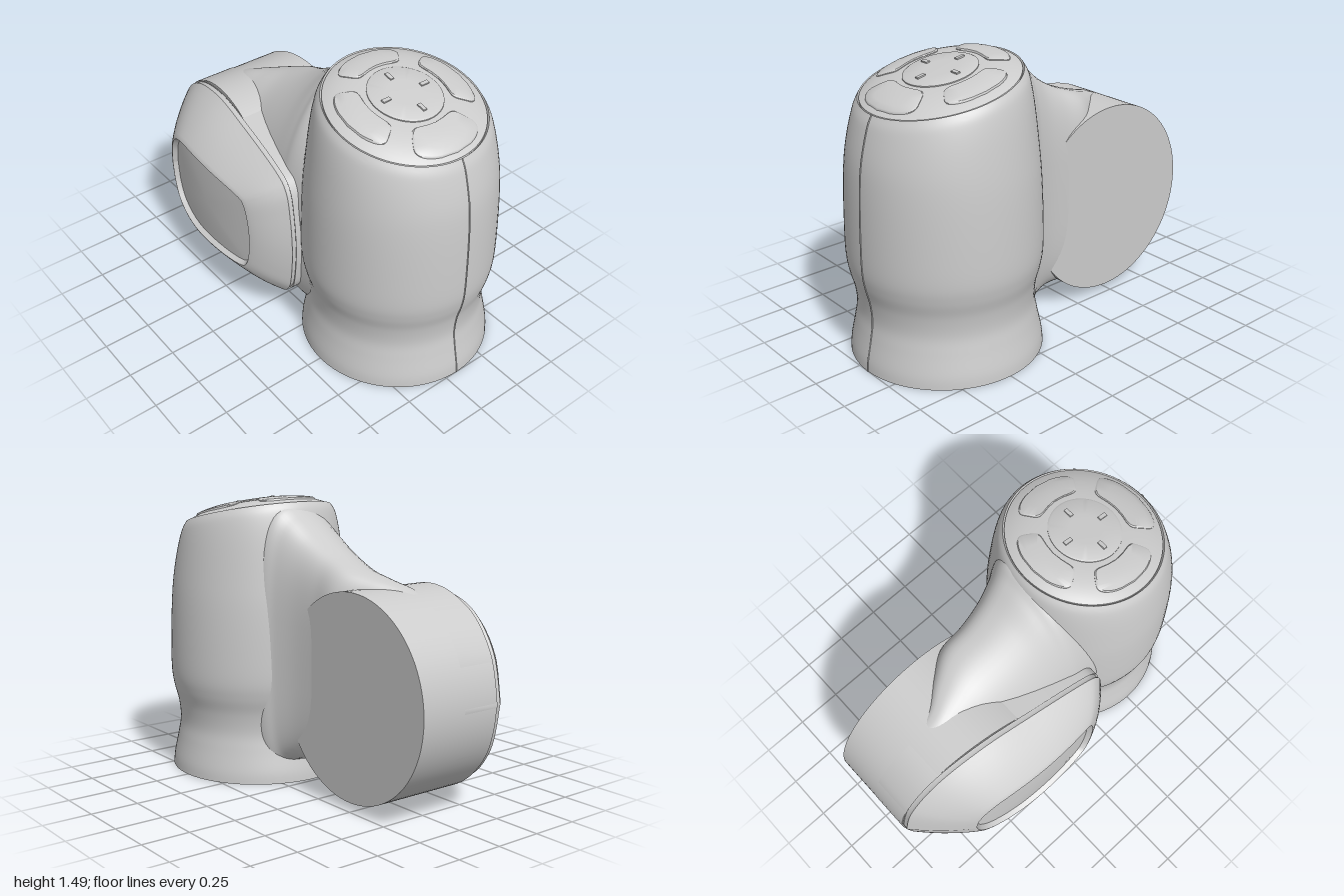
import * as THREE from 'three';
import { toCreasedNormals } from 'three/addons/utils/BufferGeometryUtils.js';

const material = new THREE.MeshStandardMaterial({ color: 0xcccccc });
const AXIS_X = 0.51, AXIS_Z = -0.07;   // axis of the upright body
const HUB_X = -0.48, HUB_Y = 0.558;    // centre of the round hub

function part(name, geometry) {
  const mesh = new THREE.Mesh(geometry, material);
  mesh.name = name;
  return mesh;
}

// Skin over closed rings of equal length, counter-clockwise about the direction of travel
function loft(rings, crease = 0.6) {
  const n = rings[0].length, positions = [], index = [];
  rings.forEach(ring => ring.forEach(p => positions.push(p.x, p.y, p.z)));
  for (let i = 0; i < rings.length - 1; i++) {
    for (let j = 0; j < n; j++) {
      const a = i * n + j, b = i * n + (j + 1) % n;
      index.push(a, b, b + n, a, b + n, a + n);
    }
  }
  const geometry = new THREE.BufferGeometry();
  geometry.setAttribute('position', new THREE.Float32BufferAttribute(positions, 3));
  geometry.setIndex(index);
  return toCreasedNormals(geometry, crease);
}

const signedPow = (v, e) => Math.sign(v) * Math.abs(v) ** e;
const v3 = (x, y, z) => new THREE.Vector3(x, y, z);

// The body's top is sheared so that the cap slopes down towards +x
const slope = (dx, y) => y - 0.21 * dx * THREE.MathUtils.smoothstep(y, 1.0, 1.37);
const dome = r => 1.375 + 0.06 * (1 - (r / 0.39) ** 4);

function slopedLathe(points, crease) {
  const geometry = new THREE.LatheGeometry(points, 96);
  const pos = geometry.attributes.position;
  for (let i = 0; i < pos.count; i++) pos.setY(i, slope(pos.getX(i), pos.getY(i)));
  geometry.translate(AXIS_X, 0, AXIS_Z);
  return toCreasedNormals(geometry, crease);
}

// Point on the cap at radius r and angle a, raised by h
function onCap(r, a, h) {
  const dx = r * Math.sin(a);
  return v3(AXIS_X + dx, slope(dx, dome(r) + h), AXIS_Z + r * Math.cos(a));
}

function addBody(group) {
  const profile = new THREE.SplineCurve([
    [0.49, 0], [0.484, 0.06], [0.461, 0.17], [0.447, 0.26], [0.455, 0.36], [0.477, 0.45],
    [0.489, 0.54], [0.488, 0.7], [0.48, 0.9], [0.467, 1.05], [0.443, 1.22], [0.418, 1.33], [0.392, 1.38],
  ].map(p => new THREE.Vector2(...p))).getPoints(72);
  group.add(part('body', slopedLathe([new THREE.Vector2(0, 0), ...profile, new THREE.Vector2(0.378, 1.36)], 0.7)));

  // Raised seam down the outer side
  const seam = profile.map(p => v3(AXIS_X + p.x, slope(p.x, p.y), AXIS_Z));
  group.add(part('sideSeam', new THREE.TubeGeometry(new THREE.CatmullRomCurve3(seam), 90, 0.004, 6)));
}

function addCap(group) {
  const cap = new THREE.Group();
  cap.name = 'cap';
  const points = [new THREE.Vector2(0.384, 1.35)];
  for (let i = 0; i <= 16; i++) {
    const r = 0.384 * (1 - i / 16);
    points.push(new THREE.Vector2(r, dome(r)));
  }
  cap.add(part('capSurface', slopedLathe(points, 0.6)));

  // Four rounded sector buttons
  for (let k = 0; k < 4; k++) {
    const middle = k === 1 ? 0.285 : 0.275, half = k === 1 ? 0.078 : 0.066;
    const ring = (scale, h) => Array.from({ length: 48 }, (_, i) => {
      const t = i / 48 * Math.PI * 2;
      return onCap(middle + half * scale * signedPow(Math.cos(t), 0.45),
        k * Math.PI / 2 + 0.6 * scale * signedPow(Math.sin(t), 0.45), h);
    });
    cap.add(part('sectorButton', loft([
      ring(1, -0.01), ring(1, 0.004), ring(0.95, 0.009), ring(0.6, 0.009), ring(0.3, 0.009), ring(0, 0.009),
    ])));
  }

  // Central disc with four small marks
  const discRing = (r, h) => Array.from({ length: 64 }, (_, i) => onCap(r, i / 64 * Math.PI * 2, h));
  cap.add(part('centreDisc', loft([
    discRing(0.18, -0.01), discRing(0.18, 0.005), discRing(0.17, 0.01), discRing(0.08, 0.01), discRing(0, 0.01),
  ])));
  for (let k = 0; k < 4; k++) {
    const a = k * Math.PI / 2;
    const mark = part('discMark', new THREE.BoxGeometry(0.02, 0.012, 0.045));
    mark.position.copy(onCap(0.115, a, 0.011));
    mark.rotation.set(0, a, -0.2, 'ZYX');
    cap.add(mark);
  }
  group.add(cap);
}

// Slanted plane on which the front cover sits
const coverPlane = x => 0.24 + 0.115 * (x + 1);

function addHub(group) {
  const hubRing = (r, z) => Array.from({ length: 96 }, (_, i) => {
    const t = i / 96 * Math.PI * 2;
    const x = HUB_X + r * Math.cos(t);
    return v3(x, HUB_Y + r * Math.sin(t), z(x));
  });
  const back = () => -0.235, front = x => coverPlane(x) - 0.012;
  group.add(part('hub', loft([
    hubRing(0, back), hubRing(0.518, back), hubRing(0.518, front), hubRing(0, front),
  ])));
}

function addNeck(group) {
  // Stations: x, top, bottom, back z, front z
  const stations = [
    [-0.72, 1.01, 0.14, -0.02, 0.22], [-0.58, 1.075, 0.08, -0.04, 0.25], [-0.45, 1.12, 0.07, -0.14, 0.28],
    [-0.32, 1.165, 0.1, -0.225, 0.3], [-0.18, 1.22, 0.125, -0.235, 0.32], [-0.05, 1.295, 0.135, -0.255, 0.335],
    [0.06, 1.385, 0.11, -0.29, 0.345], [0.14, 1.44, 0.05, -0.33, 0.35], [0.3, 1.36, 0.05, -0.36, 0.34],
  ];
  const heights = new THREE.CatmullRomCurve3(stations.map(s => v3(s[0], s[1], s[2])), false, 'catmullrom').getPoints(48);
  const depths = new THREE.CatmullRomCurve3(stations.map(s => v3(s[0], s[3], s[4])), false, 'catmullrom').getPoints(48);
  const rings = heights.map(({ x, y: top, z: bottom }, i) => {
    const { y: back, z: front } = depths[i];
    const ridge = back + 0.33 * (front - back), middle = 0.72;
    return Array.from({ length: 64 }, (_, j) => {
      const t = j / 64 * Math.PI * 2, c = Math.cos(t), s = Math.sin(t);
      const e = c < 0 ? 0.45 : s > 0 ? 1.08 : 0.6;
      return v3(x,
        middle + signedPow(c, e) * (c > 0 ? top - middle : middle - bottom),
        ridge + signedPow(s, e) * (s > 0 ? front - ridge : ridge - back));
    });
  });
  group.add(part('neck', loft(rings, 0.9)));
}

function addCover(group) {
  const outline = list => new THREE.SplineCurve(
    [...list, list[0]].map(p => new THREE.Vector2(...p)).reverse()).getPoints(128).slice(0, 128);
  const outer = outline([
    [-1, 0.56], [-0.94, 0.8], [-0.77, 0.99], [-0.5, 1.058], [-0.2, 1.02], [0.1, 0.955], [0.2, 0.89], [0.235, 0.75],
    [0.25, 0.56], [0.235, 0.37], [0.2, 0.25], [0.1, 0.175], [-0.2, 0.11], [-0.48, 0.08], [-0.77, 0.14], [-0.94, 0.32],
  ]);
  const inner = outline([
    [-0.74, 0.57], [-0.715, 0.7], [-0.64, 0.8], [-0.5, 0.84], [-0.2, 0.835], [-0.01, 0.81], [0.04, 0.77], [0.063, 0.67],
    [0.07, 0.56], [0.06, 0.45], [0.035, 0.37], [-0.02, 0.335], [-0.2, 0.315], [-0.47, 0.305], [-0.64, 0.35], [-0.715, 0.44],
  ]);
  const rimZ = x => 0.552 - 0.26 * (x + 0.25) ** 2;
  const base = (scale, dz) => outer.map(p => {
    const x = -0.4 + (p.x + 0.4) * scale;
    return v3(x, 0.565 + (p.y - 0.565) * scale, coverPlane(x) + dz);
  });
  // Flank between the seam and the rim, slightly bulged
  const flank = t => outer.map((p, i) => {
    const q = inner[i];
    return v3(THREE.MathUtils.lerp(p.x, q.x, t), THREE.MathUtils.lerp(p.y, q.y, t),
      THREE.MathUtils.lerp(coverPlane(p.x) + 0.01, rimZ(q.x), t) + 0.06 * t * (1 - t));
  });
  const face = (scale, dz) => inner.map(p => {
    const x = -0.33 + (p.x + 0.33) * scale;
    return v3(x, 0.57 + (p.y - 0.57) * scale, rimZ(x) + dz);
  });
  // Skirt, seam groove, flank, rim and shallow recessed panel
  group.add(part('frontCover', loft([
    base(1, -0.22), base(1, -0.008), base(0.985, -0.012), base(0.985, 0.006),
    ...[0.02, 0.2, 0.4, 0.6, 0.8, 0.93, 1].map(flank),
    face(0.97, 0.002), face(0.925, -0.026), face(0.7, -0.022), face(0.4, -0.018), face(0, -0.016),
  ])));
}

export function createModel() {
  const group = new THREE.Group();
  group.name = 'model';
  addBody(group);
  addCap(group);
  addHub(group);
  addNeck(group);
  addCover(group);
  return group;
}
